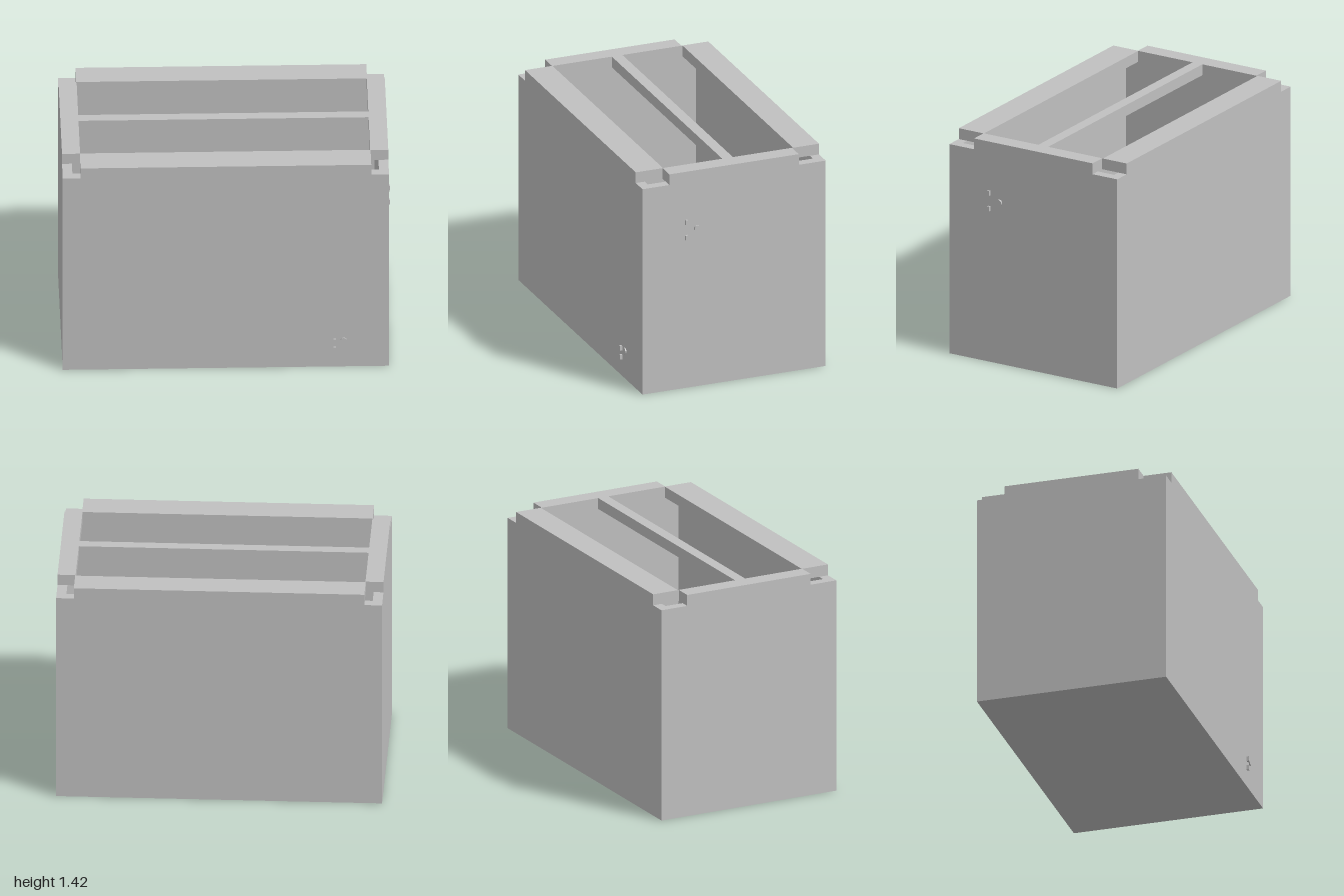
import * as THREE from 'three';

export function createModel() {
  const model = new THREE.Group();
  const grey = new THREE.MeshStandardMaterial({ color: 0xc0c0c0 });
  grey.name = 'plain grey';

  // Outer box, cavity and levels
  const X0 = -1, X1 = 0.985, Z0 = -0.61, Z1 = 0.595;
  const wall = 0.06, floorTop = 0.06, ledge = 1.35, top = 1.42;
  const notchX = 0.108, notchZ = 0.177;

  const add = (name, geometry, parent = model) => {
    const mesh = new THREE.Mesh(geometry, grey);
    mesh.name = name;
    parent.add(mesh);
    return mesh;
  };
  // Plan outlines are drawn in (x, z) and raised along y
  const outline = (points, Kind = THREE.Shape) =>
    new Kind(points.map(([x, z]) => new THREE.Vector2(x, -z)));
  const rect = (x0, x1, z0, z1) => [[x0, z1], [x1, z1], [x1, z0], [x0, z0]];
  const raise = (points, holes, y0, y1) => {
    const shape = outline(points);
    shape.holes = holes.map((h) => outline(h, THREE.Path));
    const g = new THREE.ExtrudeGeometry(shape, { depth: y1 - y0, bevelEnabled: false });
    return g.rotateX(-Math.PI / 2).translate(0, y0, 0);
  };

  // Hollow body
  add('floor', raise(rect(X0, X1, Z0, Z1), [], 0, floorTop));
  add('walls', raise(rect(X0, X1, Z0, Z1),
    [rect(X0 + wall, X1 - wall, Z0 + wall, Z1 - wall)], floorTop, ledge));

  // Top frame with notched corners, two long openings and a middle bar
  const a0 = X0 + notchX, a1 = X1 - notchX, b0 = Z0 + notchZ, b1 = Z1 - notchZ;
  add('topFrame', raise(
    [[a0, Z1], [a1, Z1], [a1, b1], [X1, b1], [X1, b0], [a1, b0],
      [a1, Z0], [a0, Z0], [a0, b0], [X0, b0], [X0, b1], [a0, b1]],
    [rect(-0.896, 0.88, 0.025, 0.415), rect(-0.896, 0.88, -0.44, -0.045)]
      .map((h) => h.map(([x, z]) => [Math.min(Math.max(x, a0 + 0.002), a1 - 0.002), z])),
    ledge, top));

  // Small rib on the floor behind the middle bar
  add('floorRib', new THREE.BoxGeometry(0.012, 0.016, 0.095)
    .translate(0, floorTop + 0.008, -0.0925));

  // Fittings: two upright tabs and a round button, facing +z
  function fitting(name, gap, buttonX, buttonY, thick) {
    const group = new THREE.Group();
    group.name = name;
    for (const y of [0, -gap]) {
      add('tab', new THREE.BoxGeometry(0.016, 0.03, 0.014).translate(0, y, 0.007), group);
    }
    add('button', new THREE.CylinderGeometry(0.02, 0.02, thick, 32)
      .rotateX(Math.PI / 2).translate(buttonX, buttonY, thick / 2), group);
    model.add(group);
    return group;
  }
  fitting('frontFitting', 0.058, 0.055, 0, 0.008).position.set(0.655, 0.183, Z1);
  const side = fitting('sideFitting', 0.1, 0.072, -0.05, 0.012);
  side.position.set(X1, 1.09, 0.308);
  side.rotation.y = Math.PI / 2;

  return model;
}
